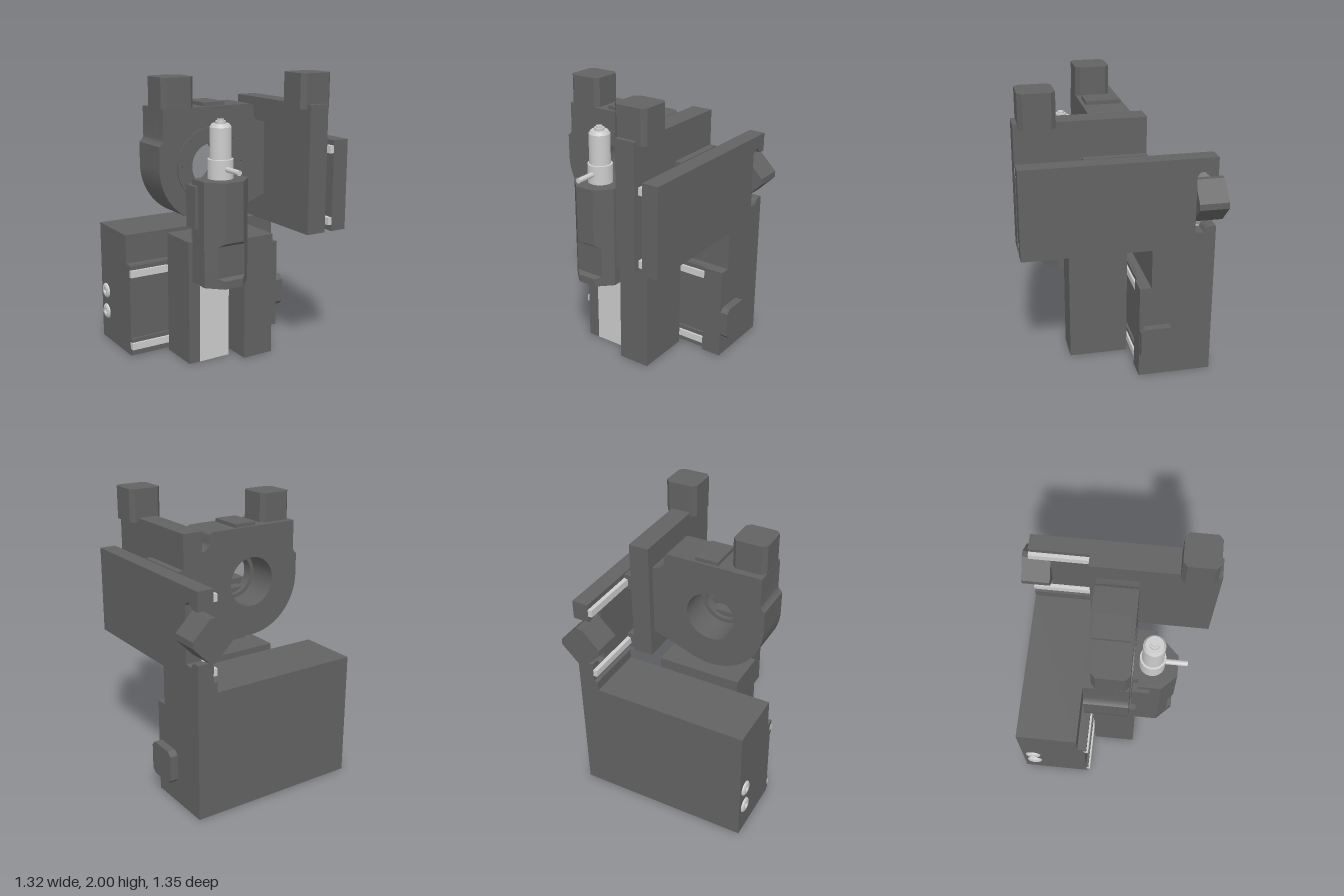
import * as THREE from 'three';
import { toCreasedNormals } from 'three/addons/utils/BufferGeometryUtils.js';

const dark = new THREE.MeshStandardMaterial({ color: 0x626262 });
const light = new THREE.MeshStandardMaterial({ color: 0xcccccc });

export function createModel() {
  const root = new THREE.Group();

  const add = (name, geo, mat = dark) => {
    const mesh = new THREE.Mesh(geo, mat);
    mesh.name = name;
    root.add(mesh);
    return mesh;
  };
  // Box given by its limits on each axis
  const box = (name, x0, x1, y0, y1, z0, z1, mat) => add(name,
    new THREE.BoxGeometry(x1 - x0, y1 - y0, z1 - z0)
      .translate((x0 + x1) / 2, (y0 + y1) / 2, (z0 + z1) / 2), mat);
  const poly = (pts) => new THREE.Shape(pts.map(([a, b]) => new THREE.Vector2(a, b)));
  // Extrusion between two limits: axis x takes (z,y), y takes (x,z), z takes (x,y)
  const prism = (name, shape, axis, lo, hi, mat) => {
    const g = new THREE.ExtrudeGeometry(shape, { depth: hi - lo, bevelEnabled: false, curveSegments: 32 });
    if (axis === 'x') g.rotateY(-Math.PI / 2).translate(hi, 0, 0);
    if (axis === 'y') g.rotateX(Math.PI / 2).translate(0, hi, 0);
    if (axis === 'z') g.translate(0, 0, lo);
    return add(name, toCreasedNormals(g, 0.5), mat);
  };
  // Square outline with cut corners
  const cutSquare = (cx, cy, s = 0.118, c = 0.03) => poly([
    [-s + c, -s], [s - c, -s], [s, -s + c], [s, s - c],
    [s - c, s], [-s + c, s], [-s, s - c], [-s, -s + c],
  ].map(([a, b]) => [cx + a, cy + b]));

  // Base housing
  prism('baseHousing', poly([[-0.615, 0], [-0.14, 0], [-0.14, 0.67], [-0.19, 0.67],
    [-0.19, 0.875], [-0.615, 0.875]]), 'x', -0.65, 0.436);
  for (const y of [0.585, 0.05]) {
    box('baseRail', -0.65, 0.436, y, y + 0.05, -0.15, -0.112, light);
    box('baseRailUpperLip', -0.65, 0.436, y + 0.052, y + 0.082, -0.15, -0.125);
    box('baseRailLowerLip', -0.65, 0.436, y - 0.035, y - 0.002, -0.15, -0.125);
  }

  // Button screws on the end of the base
  const screwProfile = [[0.022, 0], [0.022, 0.018], [0.038, 0.018], [0.052, 0.01], [0.056, 0]]
    .map(([r, h]) => new THREE.Vector2(r, h)).reverse();
  for (const y of [0.375, 0.215]) {
    const g = toCreasedNormals(new THREE.LatheGeometry(screwProfile, 24), 0.4);
    add('endScrew', g.rotateZ(Math.PI / 2).translate(-0.648, y, -0.535), light);
  }

  // Side arm with a notch at its rear edge
  const arm = poly([[-0.615, 0], [-0.11, 0], [-0.11, 0.67], [-0.19, 0.67], [-0.19, 0.945],
    [0.67, 0.945], [0.67, 1.56], [-0.615, 1.56], [-0.615, 1.43], [-0.575, 1.43]]);
  arm.quadraticCurveTo(-0.548, 1.432, -0.545, 1.45);
  arm.quadraticCurveTo(-0.51, 1.49, -0.475, 1.44);
  arm.lineTo(-0.475, 1.05);
  arm.lineTo(-0.535, 1.045);
  arm.quadraticCurveTo(-0.55, 1.085, -0.575, 1.085);
  arm.lineTo(-0.615, 1.085);
  prism('sideArm', arm, 'x', 0.465, 0.58);
  prism('sideArmFoot', poly([[-0.615, 0], [-0.11, 0], [-0.11, 0.67], [-0.19, 0.67],
    [-0.19, 0.945], [-0.615, 0.945]]), 'x', 0.436, 0.465);

  // Arm rails and the carriage lips that grip them
  for (const y of [1.475, 0.99]) {
    box('armRail', 0.436, 0.466, y, y + 0.05, -0.615, 0.67, light);
    box('carriageUpperLip', 0.405, 0.455, y + 0.053, y + 0.085, -0.18, 0.24);
    box('carriageLowerLip', 0.405, 0.455, y - 0.025, y - 0.003, -0.18, 0.24);
    box('carriageWeb', 0.405, 0.432, y - 0.025, y + 0.085, -0.18, 0.24);
  }
  box('verticalPlate', 0.265, 0.408, 0.945, 1.8, -0.18, 0.67);

  // Adjustment knobs
  prism('plateKnob', cutSquare(0.343, 0.522), 'y', 1.77, 2);
  prism('rotaryKnob', cutSquare(-0.406, 0.037), 'y', 1.77, 1.97);
  prism('baseKnob', cutSquare(-0.23, 0.268), 'x', 0.575, 0.636);
  const armKnob = prism('armKnob', cutSquare(0, 0), 'z', -0.675, -0.475);
  armKnob.rotation.z = Math.PI / 4;
  armKnob.position.set(0.507, 1.252, 0);

  // Rotary stage body around a bored opening
  const cx = -0.17, cy = 1.38;
  const stageShape = (hole) => {
    const s = new THREE.Shape();
    s.moveTo(-0.525, 1.77);
    s.lineTo(-0.525, 1.57);
    s.quadraticCurveTo(-0.528, 1.55, -0.555, 1.53);
    s.lineTo(-0.555, cy);
    s.absarc(cx, cy, 0.385, Math.PI, Math.PI * 1.6, false);
    s.lineTo(0.265, 1.13);
    s.lineTo(0.265, 1.638);
    s.quadraticCurveTo(0.18, 1.65, 0.174, 1.7);
    s.lineTo(0.174, 1.74);
    s.quadraticCurveTo(0.17, 1.77, 0.14, 1.77);
    s.closePath();
    s.holes.push(new THREE.Path().absarc(cx, cy, hole, 0, Math.PI * 2, true));
    return s;
  };
  prism('rotaryStageRear', stageShape(0.175), 'z', -0.13, 0.09);
  prism('rotaryStageFront', stageShape(0.146), 'z', 0.09, 0.155);
  box('rotaryStageTab', -0.21, -0.045, 1.765, 1.795, -0.11, 0.13);
  const ring = new THREE.Shape().absarc(cx, cy, 0.255, 0, Math.PI * 2, false);
  ring.holes.push(new THREE.Path().absarc(cx, cy, 0.146, 0, Math.PI * 2, true));
  // Two circles of mounting holes through the face ring
  for (let i = 0; i < 8; i++) {
    for (const r of [0.184, 0.228]) {
      if (i % 2 && r < 0.2) continue;
      const a = i * Math.PI / 4;
      ring.holes.push(new THREE.Path().absarc(cx + r * Math.cos(a), cy + r * Math.sin(a), 0.011, 0, Math.PI * 2, true));
    }
  }
  prism('rotaryFace', ring, 'z', 0.155, 0.164);

  // Front lift block with its guide
  prism('liftBlock', poly([[-0.37, -0.1], [0.24, -0.1], [0.24, 0.31], [0.01, 0.31],
    [0.01, 0.11], [-0.285, 0.11], [-0.285, 0.2], [-0.37, 0.2]]), 'y', 0, 0.875);
  box('liftGuide', -0.285, -0.05, 0, 0.86, 0.1, 0.2, light);
  prism('liftDovetail', poly([[-0.3, 0.12], [-0.04, 0.12], [-0.08, 0.23], [-0.26, 0.23]]), 'y', 0.865, 1.27);
  box('liftBracket', -0.365, -0.3, 0.985, 1.27, 0.165, 0.28);

  // Holder: chamfered column with a grip recess, lofted through levels [y, front z]
  const levels = [[0.595, 0.42], [0.64, 0.455], [0.65, 0.455], [0.665, 0.42], [0.88, 0.42], [0.905, 0.455], [1.31, 0.455]];
  levels[0][1] = 0.455;
  const section = (y, z) => {
    const c = z - 0.355;
    return [[-0.34, 0.2], [-0.34, 0.355], [-0.34 + c, z], [-c, z], [0, 0.355], [0, 0.2]].map(([a, b]) => [a, y, b]);
  };
  const rings = levels.map(([y, z]) => section(y, z));
  const pos = [];
  const tri = (...p) => p.forEach((v) => pos.push(...v));
  for (let i = 0; i + 1 < rings.length; i++) {
    for (let j = 0; j < 6; j++) {
      const k = (j + 1) % 6, lo = rings[i], hi = rings[i + 1];
      tri(lo[j], lo[k], hi[k]);
      tri(lo[j], hi[k], hi[j]);
    }
  }
  const top = rings[rings.length - 1], bottom = rings[0];
  for (let j = 1; j < 5; j++) {
    tri(top[0], top[j], top[j + 1]);
    tri(bottom[0], bottom[j + 1], bottom[j]);
  }
  const holder = new THREE.BufferGeometry();
  holder.setAttribute('position', new THREE.Float32BufferAttribute(pos, 3));
  holder.computeVertexNormals();
  add('holder', holder);

  // Turned barrel standing in the holder, with a side pin
  const barrel = [[0, 1.3], [0.086, 1.3], [0.086, 1.44], [0.073, 1.442], [0.073, 1.65], [0.058, 1.672],
    [0.035, 1.672], [0.035, 1.69], [0.022, 1.69], [0.022, 1.702], [0, 1.702]]
    .map(([r, y]) => new THREE.Vector2(r, y));
  add('barrel', toCreasedNormals(new THREE.LatheGeometry(barrel, 40).translate(cx, 0, 0.283), 0.5), light);
  add('barrelPin', new THREE.CylinderGeometry(0.018, 0.018, 0.16, 20).rotateX(Math.PI / 2)
    .translate(cx, 1.38, 0.433), light);

  return root;
}
